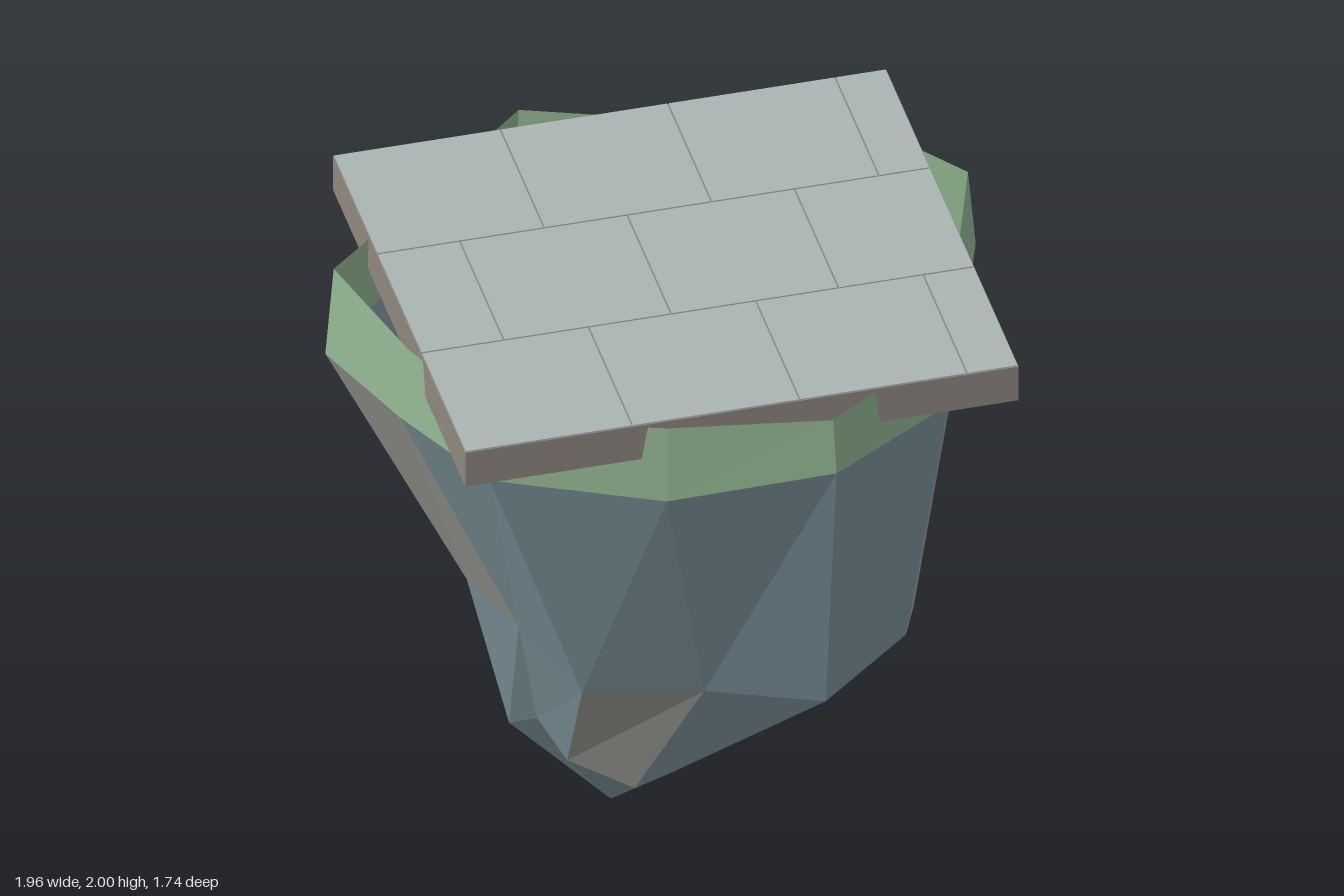
import * as THREE from 'three';

const mat = (name, color, side = THREE.FrontSide) => {
  const m = new THREE.MeshStandardMaterial({ color, side });
  m.name = name;
  m.flatShading = true;
  return m;
};

// Rings of the rock, [x, y, z], counter-clockwise seen from above, starting at the front
const grassEdge = [
  [0.27, 1.8, 0.87], [0.68, 1.78, 0.6], [0.83, 1.75, 0.2], [0.98, 1.72, -0.23],
  [0.7, 1.77, -0.6], [0.21, 1.69, -0.7], [-0.24, 1.78, -0.87], [-0.55, 1.75, -0.6],
  [-0.98, 1.68, -0.24], [-0.87, 1.74, 0.2], [-0.71, 1.78, 0.62], [-0.22, 1.73, 0.785],
];
const waist = [
  [0.29, 0.83, 0.67], [0.58, 0.89, 0.49], [0.68, 0.77, 0.2], [0.78, 0.83, -0.11],
  [0.58, 0.83, -0.37], [0.24, 0.8, -0.43], [-0.08, 0.8, -0.54], [-0.33, 0.82, -0.36],
  [-0.59, 0.89, -0.1], [-0.52, 0.94, 0.23], [-0.4, 0.87, 0.5], [-0.05, 0.86, 0.57],
];
const foot = [
  [-0.03, 0.25, 0.13], [0.05, 0.28, 0.03], [0.2, 0.43, 0], [0.27, 0.32, -0.16],
  [0.07, 0.33, -0.25], [-0.01, 0.34, -0.31], [-0.21, 0.24, -0.34], [-0.4, 0.29, -0.24],
  [-0.46, 0.34, -0.11], [-0.41, 0.44, 0.02], [-0.35, 0.36, 0.14], [-0.17, 0.29, 0.23],
];
const rim = grassEdge.map(([x, , z]) => [x * 0.975, 1.985, z * 0.985]);
const tip = foot.map(() => [-0.15, 0, -0.12]);

// Faceted band between two rings; the pattern gives the colour of each side
function band(name, low, high, pattern, materials) {
  const pos = [];
  const geo = new THREE.BufferGeometry();
  for (let i = 0; i < low.length; i++) {
    const j = (i + 1) % low.length;
    const start = pos.length / 3;
    if (low !== tip) pos.push(...low[i], ...low[j], ...high[j]);
    pos.push(...low[i], ...high[j], ...high[i]);
    geo.addGroup(start, pos.length / 3 - start, Number(pattern[i]));
  }
  geo.setAttribute('position', new THREE.Float32BufferAttribute(pos, 3));
  geo.computeVertexNormals();
  const mesh = new THREE.Mesh(geo, materials);
  mesh.name = name;
  return mesh;
}

function box(name, x0, x1, y0, y1, z0, z1, material) {
  const mesh = new THREE.Mesh(new THREE.BoxGeometry(x1 - x0, y1 - y0, z1 - z0), material);
  mesh.position.set((x0 + x1) / 2, (y0 + y1) / 2, (z0 + z1) / 2);
  mesh.name = name;
  return mesh;
}

export function createModel() {
  const blueRock = mat('blueRock', 0x7d949c, THREE.DoubleSide);
  const greyRock = mat('greyRock', 0x9b9b96, THREE.DoubleSide);
  const grass = mat('grass', 0x92b592, THREE.DoubleSide);
  const mortar = mat('mortar', 0x8f8880);
  const tile = mat('tile', 0xaab5b2);
  const rocks = [blueRock, greyRock];

  // Rock, open at the top and pointed at the bottom
  const rock = new THREE.Group();
  rock.name = 'rock';
  rock.add(
    band('grassRim', grassEdge, rim, '000000000000', [grass]),
    band('upperRock', waist, grassEdge, '010010001000', rocks),
    band('lowerRock', foot, waist, '001110100010', rocks),
    band('rockTip', tip, foot, '010001000000', rocks),
  );

  // Paved slab: three rows of thin tiles with staggered joints
  const platform = new THREE.Group();
  platform.name = 'platform';
  const [left, right] = [-0.82, 0.85];
  platform.add(box('slab', left, right, 1.875, 1.996, -0.76, 0.755, mortar));
  const rows = [-0.76, -0.255, 0.25, 0.755];
  const joints = [[-0.315, 0.19, 0.695], [-0.57, -0.065, 0.44]];
  const gap = 0.003;
  for (let r = 0; r < 3; r++) {
    const xs = [left, ...joints[r % 2], right];
    for (let i = 0; i < xs.length - 1; i++) {
      platform.add(box('tile', xs[i] + gap, xs[i + 1] - gap, 1.995, 2, rows[r] + gap, rows[r + 1] - gap, tile));
    }
  }

  const model = new THREE.Group();
  model.name = 'floatingRock';
  model.add(rock, platform);
  return model;
}
